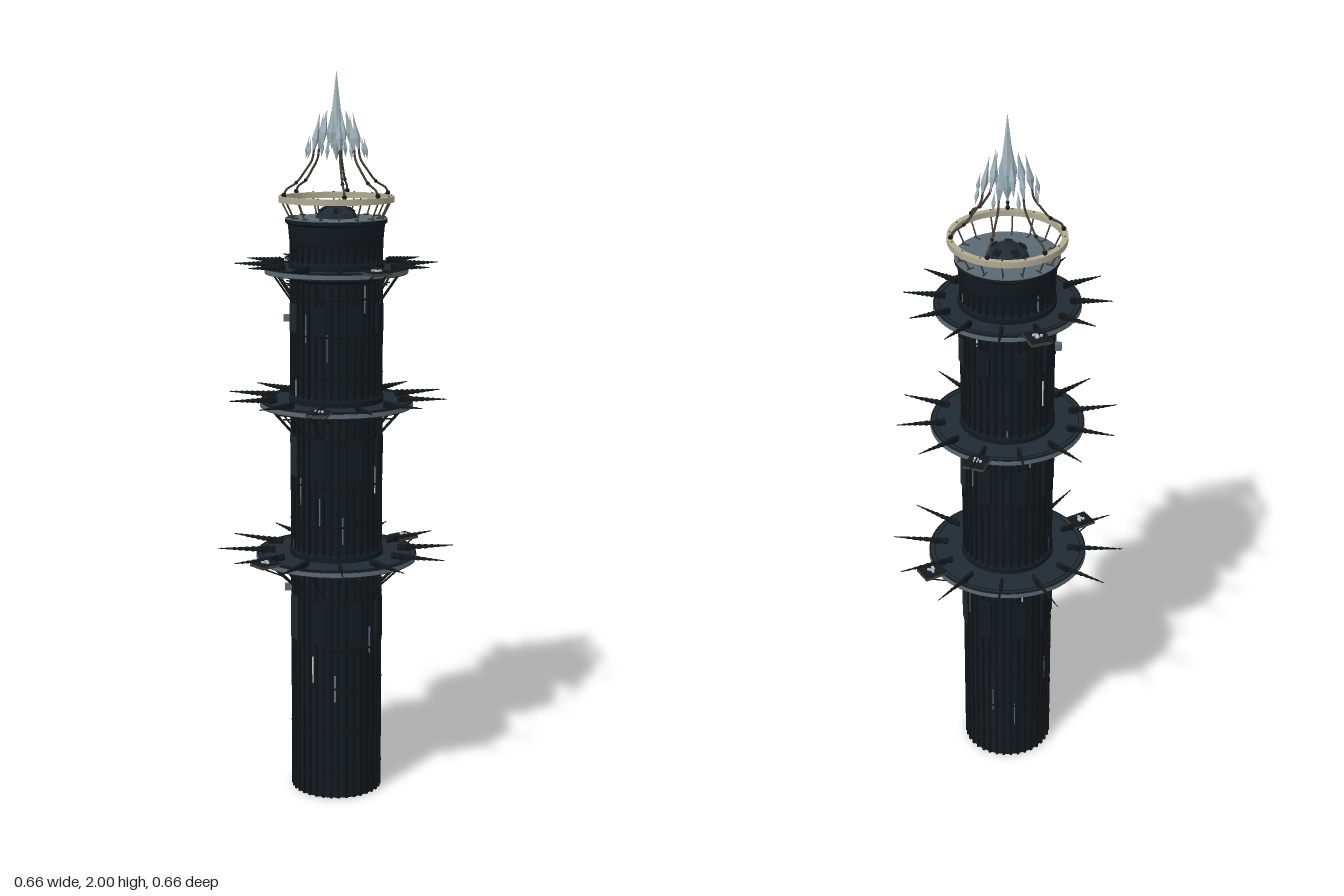
import * as THREE from 'three';
import { toCreasedNormals } from 'three/addons/utils/BufferGeometryUtils.js';

const mat = (name, color, opts = {}) => {
  const m = new THREE.MeshStandardMaterial({ color, ...opts });
  m.name = name;
  return m;
};
const V = (x, y, z = 0) => new THREE.Vector3(x, y, z);

export function createModel() {
  const M = {
    hull: mat('hull', 0x131a20),
    rib: mat('rib', 0x101417),
    deck: mat('deck', 0x202a33),
    roof: mat('roof', 0x5a6972),
    bone: mat('bone', 0xb0aa92),
    bronze: mat('bronze', 0x463f36),
    iron: mat('iron', 0x16191b, { flatShading: true }),
    panel: mat('panel', 0x1d2a2c),
    crystal: mat('crystal', 0xa0b3bc, { flatShading: true }),
    glow: mat('glow', 0xb9c2c4),
  };
  const tower = new THREE.Group();
  tower.name = 'tower';

  const add = (parent, name, geo, material, x = 0, y = 0, z = 0) => {
    const m = new THREE.Mesh(geo, material);
    m.name = name;
    m.position.set(x, y, z);
    parent.add(m);
    return m;
  };
  const box = (w, h, d) => new THREE.BoxGeometry(w, h, d);
  const lathe = (pts, n) => toCreasedNormals(
    new THREE.LatheGeometry(pts.map(p => new THREE.Vector2(...p)), n), 0.4);
  // Pivot whose +x axis points outward at the given angle (degrees, towards +z)
  const spoke = (parent, name, deg) => {
    const g = new THREE.Group();
    g.name = name;
    g.rotation.y = -deg * Math.PI / 180;
    parent.add(g);
    return g;
  };
  // Straight rod between two points
  const rod = (parent, name, a, b, r, material) => {
    const m = add(parent, name, new THREE.CylinderGeometry(r, r, a.distanceTo(b), 5), material);
    m.position.copy(a).lerp(b, 0.5);
    m.quaternion.setFromUnitVectors(V(0, 1), b.clone().sub(a).normalize());
    return m;
  };
  const hoop = (parent, name, r, t, y, material) => {
    const m = add(parent, name, new THREE.TorusGeometry(r, t, 5, 64), material, 0, y, 0);
    m.rotation.x = Math.PI / 2;
    return m;
  };

  // Shaft with vertical ribs, bands and slit windows
  const shaft = new THREE.Group();
  shaft.name = 'shaft';
  tower.add(shaft);
  add(shaft, 'core', new THREE.CylinderGeometry(0.121, 0.121, 1.6, 48), M.hull, 0, 0.8, 0);
  const ribGeo = box(0.01, 1.575, 0.007);
  for (let i = 0; i < 36; i++) add(spoke(shaft, 'ribSpoke', i * 10), 'rib', ribGeo, M.rib, 0.1215, 0.7875, 0);
  for (const y of [0.07, 0.19, 0.32, 0.43, 0.57, 0.78, 0.89, 1.02, 1.19, 1.3, 1.4, 1.53])
    hoop(shaft, 'band', 0.1245, 0.0028, y, M.rib);
  const slit = box(0.004, 0.075, 0.003);
  for (let i = 0; i < 36; i++)
    add(spoke(shaft, 'windowSpoke', 5 + i * 70), 'window', slit, i % 3 ? M.roof : M.glow,
      0.1225, 0.13 + (i * 0.37) % 1.4, 0);

  // Raised wall panels below each deck
  for (const [y, h] of [[0.505, 0.12], [0.965, 0.11], [1.345, 0.075]]) {
    for (let i = 0; i < 8; i++) {
      const s = spoke(shaft, 'panelSpoke', 25 + i * 45);
      add(s, 'wallPanel', box(0.012, h, 0.04), i % 4 === 3 ? M.panel : M.hull, 0.123, y, 0);
    }
  }
  // Small instruments on the -x wall
  for (const y of [0.585, 1.34]) {
    add(shaft, 'instrument', box(0.02, 0.018, 0.018), M.roof, -0.134, y, 0.01);
  }

  // Thorn: a beaded, tapering spike
  const thornGeo = len => {
    const pts = [[0, 0]];
    for (let i = 0; i < 9; i++) {
      const r = 0.0125 * (1 - i / 9.5);
      pts.push([r * 0.75, len * i / 9], [r, len * (i + 0.5) / 9]);
    }
    pts.push([0, len]);
    return lathe(pts, 6);
  };

  // Three ring decks: height, radius, thorn tip radius, thorn phase, pad angle and pad radius
  const decks = [
    [0.675, 0.223, 0.33, 0, 144.5, 0.252],
    [1.105, 0.21, 0.306, 15, 104.5, 0.243],
    [1.47, 0.195, 0.277, 0, 64.5, 0.226],
  ];
  for (const [y, R, tip, phase, padAngle, padR] of decks) {
    const deck = new THREE.Group();
    deck.name = 'deck';
    deck.position.y = y;
    tower.add(deck);
    add(deck, 'deckPlate', lathe([[0.12, -0.012], [R - 0.001, -0.009], [R - 0.001, 0.006], [0.12, 0.006]], 64), M.deck);
    add(deck, 'deckRim', lathe([[R - 0.001, -0.007], [R, -0.007], [R, 0.004], [R - 0.001, 0.004]], 64), M.roof);
    hoop(deck, 'outerRail', R - 0.003, 0.002, 0.008, M.iron);
    hoop(deck, 'innerRail', R - 0.016, 0.0015, 0.007, M.iron);
    add(deck, 'collar', lathe([[0.12, -0.03], [0.13, -0.02], [0.13, 0.02], [0.12, 0.03]], 48), M.hull);

    const geo = thornGeo(tip - 0.17);
    for (let i = 0; i < 12; i++) {
      const s = spoke(deck, 'thornSpoke', phase + i * 30);
      const t = add(s, 'thorn', geo, M.iron, 0.17, 0.015, 0);
      t.rotation.z = -Math.PI / 2 + 0.03;
      t.scale.z = 0.45;
      add(s, 'thornMount', box(0.018, 0.018, 0.009), M.rib, R - 0.022, 0.013, 0);
    }
    // Braces under the deck
    for (let i = 0; i < 16; i++) {
      const s = spoke(deck, 'braceSpoke', i * 22.5);
      rod(s, 'brace', V(0.122, -0.085), V(R - 0.02, -0.008), 0.0028, M.iron);
      rod(s, 'braceTie', V(0.122, -0.04), V(R - 0.05, -0.036), 0.002, M.iron);
    }
    // Two opposite landing pads with small craft
    for (const a of [padAngle, padAngle + 180]) {
      const pad = spoke(deck, 'landingPad', a);
      const px = padR - 0.008;
      add(pad, 'padEdge', box(0.066, 0.007, 0.058), M.bronze, px, 0.009, 0);
      add(pad, 'padTop', box(0.063, 0.003, 0.055), M.hull, px, 0.0135, 0);
      for (const [dx, dz, w, d] of [[0, 0, 0.016, 0.005], [-0.006, 0.007, 0.006, 0.009], [0.008, 0.005, 0.006, 0.006], [0.002, -0.01, 0.007, 0.006]])
        add(pad, 'craft', box(w, 0.005, d), M.glow, px + dx, 0.017, dz);
      for (const z of [-0.02, 0.02])
        rod(pad, 'padBrace', V(R - 0.03, -0.03, z), V(padR + 0.015, 0.006, z), 0.002, M.iron);
    }
  }

  // Flared cap and roof
  const top = new THREE.Group();
  top.name = 'crown';
  tower.add(top);
  add(top, 'cap', lathe([[0.121, 1.535], [0.127, 1.55], [0.131, 1.592], [0.138, 1.598], [0.138, 1.607]], 48), M.hull);
  add(top, 'roof', new THREE.CylinderGeometry(0.138, 0.135, 0.01, 48), M.roof, 0, 1.604, 0);
  const dome = add(top, 'dome', lathe([[0.057, 1.608], [0.052, 1.622], [0.036, 1.634], [0.018, 1.64], [0, 1.642]], 10), M.deck);
  dome.rotation.y = 0.3;
  for (let i = 0; i < 5; i++) {
    const s = spoke(top, 'domeSpoke', 18 + i * 72);
    const p = add(s, 'domePlate', box(0.02, 0.004, 0.02), M.iron, 0.041, 1.632, 0);
    p.rotation.z = -0.6;
  }

  // Pale flat ring on slanted struts, with bolts
  add(top, 'ring', lathe([[0.141, 1.652], [0.156, 1.652], [0.156, 1.668], [0.141, 1.668], [0.141, 1.652]], 64), M.bone);
  for (let i = 0; i < 16; i++) {
    const s = spoke(top, 'strutSpoke', i * 22.5);
    rod(s, 'ringStrut', V(0.125, 1.608), V(0.148, 1.655), 0.0022, M.bronze);
    rod(s, 'roofRail', V(0.112, 1.611), V(0.134, 1.611), 0.0022, M.bronze);
    add(s, 'bolt', new THREE.CylinderGeometry(0.0022, 0.0022, 0.003, 6), M.bronze, 0.148, 1.669, 0);
  }

  // Curved arms rising from the ring, each holding a shard
  const shardGeo = (r, lo, hi) => lathe([[0, -lo], [r, 0], [r * 0.4, hi * 0.5], [0, hi]], 4);
  const curve = new THREE.CatmullRomCurve3([
    V(0.147, 1.665), V(0.142, 1.685), V(0.112, 1.705), V(0.088, 1.735), V(0.068, 1.765), V(0.062, 1.8),
  ]);
  const armGeo = new THREE.TubeGeometry(curve, 20, 0.003, 6);
  const knob = new THREE.SphereGeometry(0.0065, 10, 8);
  [-75, -15, 45, 85, 165, 225].forEach(a => {
    const s = spoke(top, 'arm', a);
    add(s, 'armRod', armGeo, M.bronze);
    add(s, 'armKnob', knob, M.iron, 0.147, 1.673, 0);
    add(s, 'armJoint', new THREE.SphereGeometry(0.005, 8, 6), M.iron, 0.112, 1.705, 0);
    const shard = add(s, 'armShard', shardGeo(0.01, 0.045, 0.07), M.crystal, 0.058, 1.82, 0);
    shard.rotation.z = 0.18;
  });
  // Floating shards and the central crystal
  for (let i = 0; i < 8; i++) {
    const s = spoke(top, 'shardSpoke', 20 + i * 45);
    const outer = add(s, 'outerShard', shardGeo(0.006, 0.025, 0.035), M.crystal, 0.082, 1.79, 0);
    const inner = add(s, 'innerShard', shardGeo(0.01, 0.045, 0.06), M.crystal, 0.038, 1.835, 0);
    outer.rotation.z = inner.rotation.z = 0.18;
  }
  add(top, 'crystal', lathe([[0, 1.76], [0.016, 1.805], [0.021, 1.84], [0.01, 1.92], [0, 2]], 6), M.crystal);
  return tower;
}
